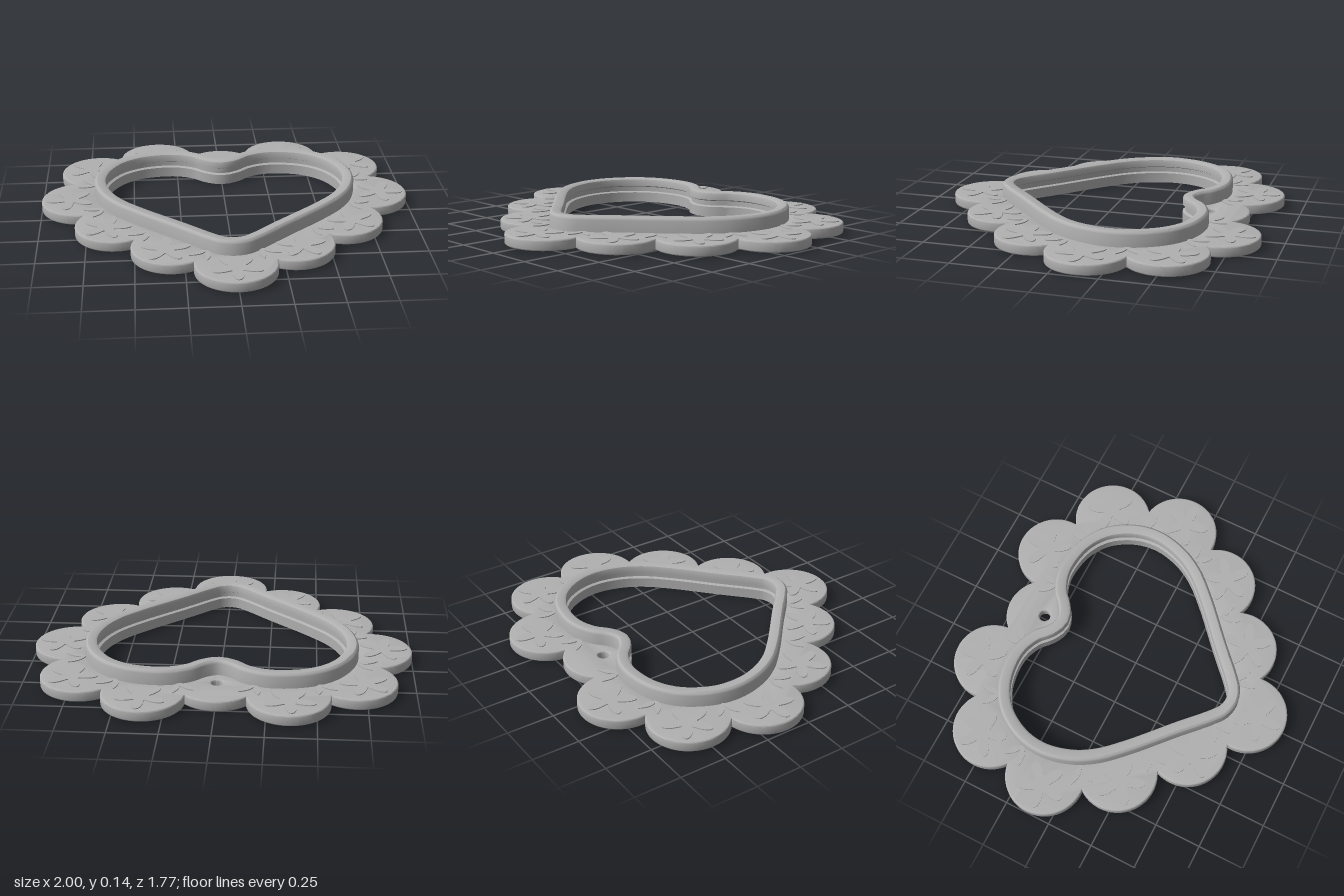
import * as THREE from 'three';
import { toCreasedNormals } from 'three/addons/utils/BufferGeometryUtils.js';

const V2 = (x, y) => new THREE.Vector2(x, y);
const mirrored = (half) => [...half, ...half.slice(1, -1).reverse().map(([x, y]) => [-x, y])];

// Plan drawings use (x, -z); everything is laid flat afterwards.
const scallops = mirrored([
  [0, -0.67], [0.31, -0.465], [0.6, -0.2], [0.79, 0.13], [0.695, 0.5], [0.36, 0.685], [0, 0.56],
]).map(([x, y]) => V2(x, y));
const R = 0.21;
const COUNT = scallops.length;
const at = (i) => scallops[(i + COUNT) % COUNT];

const heart = new THREE.CatmullRomCurve3(mirrored([
  [0, -0.6], [0.075, -0.583], [0.135, -0.54], [0.28, -0.405], [0.5, -0.205], [0.61, -0.085],
  [0.68, 0.04], [0.715, 0.2], [0.69, 0.35], [0.6, 0.495], [0.47, 0.58], [0.31, 0.61],
  [0.21, 0.597], [0.12, 0.555], [0.06, 0.502], [0, 0.477],
]).map(([x, y]) => new THREE.Vector3(x, y, 0)), true, 'centripetal');

// Heart outline moved inward by d
const STEPS = 180;
function heartLoop(d) {
  return Array.from({ length: STEPS }, (_, i) => {
    const p = heart.getPointAt(i / STEPS), t = heart.getTangentAt(i / STEPS);
    return V2(p.x - t.y * d, p.y + t.x * d);
  });
}

// Outer crossing of two neighbouring scallop circles
function notch(a, b) {
  const d = b.clone().sub(a), len = d.length();
  const h = Math.sqrt(R * R - len * len / 4);
  return a.clone().add(b).multiplyScalar(0.5).add(V2(d.y, -d.x).multiplyScalar(h / len));
}

function scallopedOutline() {
  const s = new THREE.Shape();
  for (let i = 0; i < COUNT; i++) {
    const c = at(i);
    const a = notch(at(i - 1), c).sub(c).angle(), b = notch(c, at(i + 1)).sub(c).angle();
    s.absarc(c.x, c.y, R, a, b, false);
  }
  return s;
}

function flat(shape, y0, y1, bevel = 0, curveSegments = 24) {
  const g = new THREE.ExtrudeGeometry(shape, {
    depth: y1 - y0 - 2 * bevel, bevelEnabled: bevel > 0, bevelSize: bevel, bevelThickness: bevel,
    bevelOffset: -bevel, bevelSegments: 3, curveSegments,
  });
  g.translate(0, 0, y0 + bevel);
  g.rotateX(-Math.PI / 2);
  return toCreasedNormals(g, 0.6);
}

// Sweep a closed (inset, height) section around the heart
function heartSweep(section) {
  const pos = [], index = [], n = section.length;
  const loops = section.map(([d]) => heartLoop(d));
  for (let i = 0; i < STEPS; i++) {
    for (let j = 0; j < n; j++) {
      pos.push(loops[j][i].x, section[j][1], -loops[j][i].y);
      const i2 = (i + 1) % STEPS, j2 = (j + 1) % n;
      const a = i * n + j, b = i2 * n + j, c = i2 * n + j2, d = i * n + j2;
      index.push(a, b, c, a, c, d);
    }
  }
  const g = new THREE.BufferGeometry();
  g.setAttribute('position', new THREE.Float32BufferAttribute(pos, 3));
  g.setIndex(index);
  return toCreasedNormals(g, 0.6);
}

// Five-petalled blossom
function flowerShape() {
  const pts = [];
  for (let i = 0; i < 60; i++) {
    const a = (i / 60) * Math.PI * 2, r = 0.088 + 0.044 * Math.cos(5 * a);
    pts.push(V2(Math.cos(a) * r, Math.sin(a) * r));
  }
  return new THREE.Shape(pts);
}

function leafShape() {
  const s = new THREE.Shape();
  s.moveTo(0, 0);
  s.quadraticCurveTo(0.05, -0.034, 0.11, 0);
  s.quadraticCurveTo(0.05, 0.034, 0, 0);
  return s;
}

export function createModel() {
  const model = new THREE.Group();
  const grey = new THREE.MeshStandardMaterial({ color: 0xb0b0b0 });
  grey.name = 'plain grey';
  const add = (name, geometry) => {
    const m = new THREE.Mesh(geometry, grey);
    m.name = name;
    model.add(m);
    return m;
  };

  // Scalloped plate with heart opening and hanging hole
  const outline = scallopedOutline();
  outline.holes.push(new THREE.Path(heartLoop(0.02).reverse()));
  const hole = new THREE.Path();
  hole.absarc(0, 0.56, 0.03, 0, Math.PI * 2, true);
  outline.holes.push(hole);
  add('scallopedPlate', flat(outline, 0.004, 0.06, 0.008));

  // Raised heart rim, rounded on top, with a groove inside
  add('heartRim', heartSweep([
    [0.034, 0], [0.034, 0.025], [0, 0.025], [0, 0.122], [0.004, 0.132], [0.014, 0.139],
    [0.05, 0.139], [0.061, 0.133], [0.065, 0.122], [0.065, 0.095],
    [0.05, 0.088], [0.05, 0.062], [0.065, 0.056], [0.065, 0],
  ]));

  // Low relief flowers and leaves on both faces
  const layers = [['upper', 0.058, 0.065], ['lower', 0, 0.006]];
  for (const [side, y0, y1] of layers) {
    const flower = flat(flowerShape(), y0, y1);
    const leaf = flat(leafShape(), y0, y1, 0, 8);
    for (let i = 0; i < COUNT; i++) {
      const c = at(i), along = at(i + 1).clone().sub(at(i - 1)).normalize();
      const out = V2(along.y, -along.x);
      if (i !== COUNT / 2) {
        const f = add(side + 'Flower', flower);
        f.position.set(c.x + out.x * 0.055, 0, -(c.y + out.y * 0.055));
        f.rotation.y = out.angle();
      }
      const next = at(i + 1), step = next.clone().sub(c);
      const angle = V2(step.y, -step.x).angle();
      const mid = c.clone().add(next).multiplyScalar(0.5);
      for (const turn of [-0.5, 0.5]) {
        const l = add(side + 'Leaf', leaf);
        l.position.set(mid.x - Math.cos(angle) * 0.04, 0, -(mid.y - Math.sin(angle) * 0.04));
        l.rotation.y = angle + turn;
      }
    }
  }
  return model;
}
